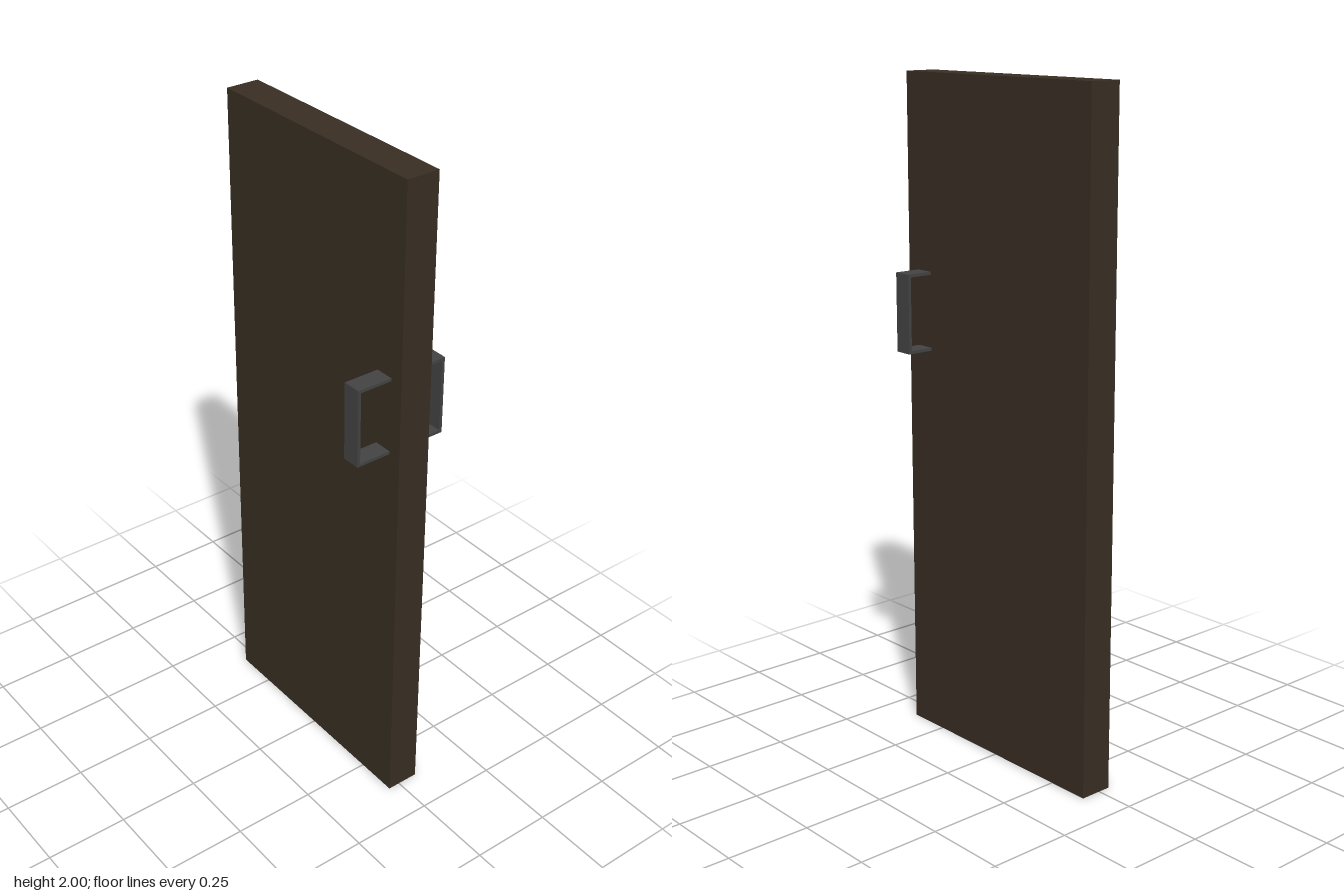
import * as THREE from 'three';

export function createModel() {
  const wood = new THREE.MeshStandardMaterial({ color: 0x382e23 });
  wood.name = 'darkWood';
  const metal = new THREE.MeshStandardMaterial({ color: 0x434343 });
  metal.name = 'darkMetal';

  const model = new THREE.Group();
  model.name = 'door';

  // Box given by its minimum and maximum corners
  const addBox = (parent, name, material, min, max) => {
    const size = max.map((v, i) => v - min[i]);
    const mesh = new THREE.Mesh(new THREE.BoxGeometry(...size), material);
    mesh.position.set(...max.map((v, i) => (v + min[i]) / 2));
    mesh.name = name;
    parent.add(mesh);
  };

  // Door slab, slightly off centre between its handles
  const faceRight = -0.037, faceLeft = 0.064;
  addBox(model, 'doorPanel', wood, [faceRight, 0, -0.38], [faceLeft, 2, 0.38]);

  // Flat-bar pull handle on each face: two arms and a grip
  const bar = 0.009, bottom = 1.195, top = 1.43, z0 = 0.282, z1 = 0.339;
  const addHandle = (name, face, outer) => {
    const handle = new THREE.Group();
    handle.name = name;
    const inner = outer - Math.sign(outer) * bar;
    const lo = Math.min(face, inner), hi = Math.max(face, inner);
    addBox(handle, 'lowerArm', metal, [lo, bottom, z0], [hi, bottom + bar, z1]);
    addBox(handle, 'upperArm', metal, [lo, top - bar, z0], [hi, top, z1]);
    addBox(handle, 'grip', metal,
      [Math.min(inner, outer), bottom, z0], [Math.max(inner, outer), top, z1]);
    model.add(handle);
  };
  addHandle('leftHandle', faceLeft, 0.146);
  addHandle('rightHandle', faceRight, -0.146);

  return model;
}
